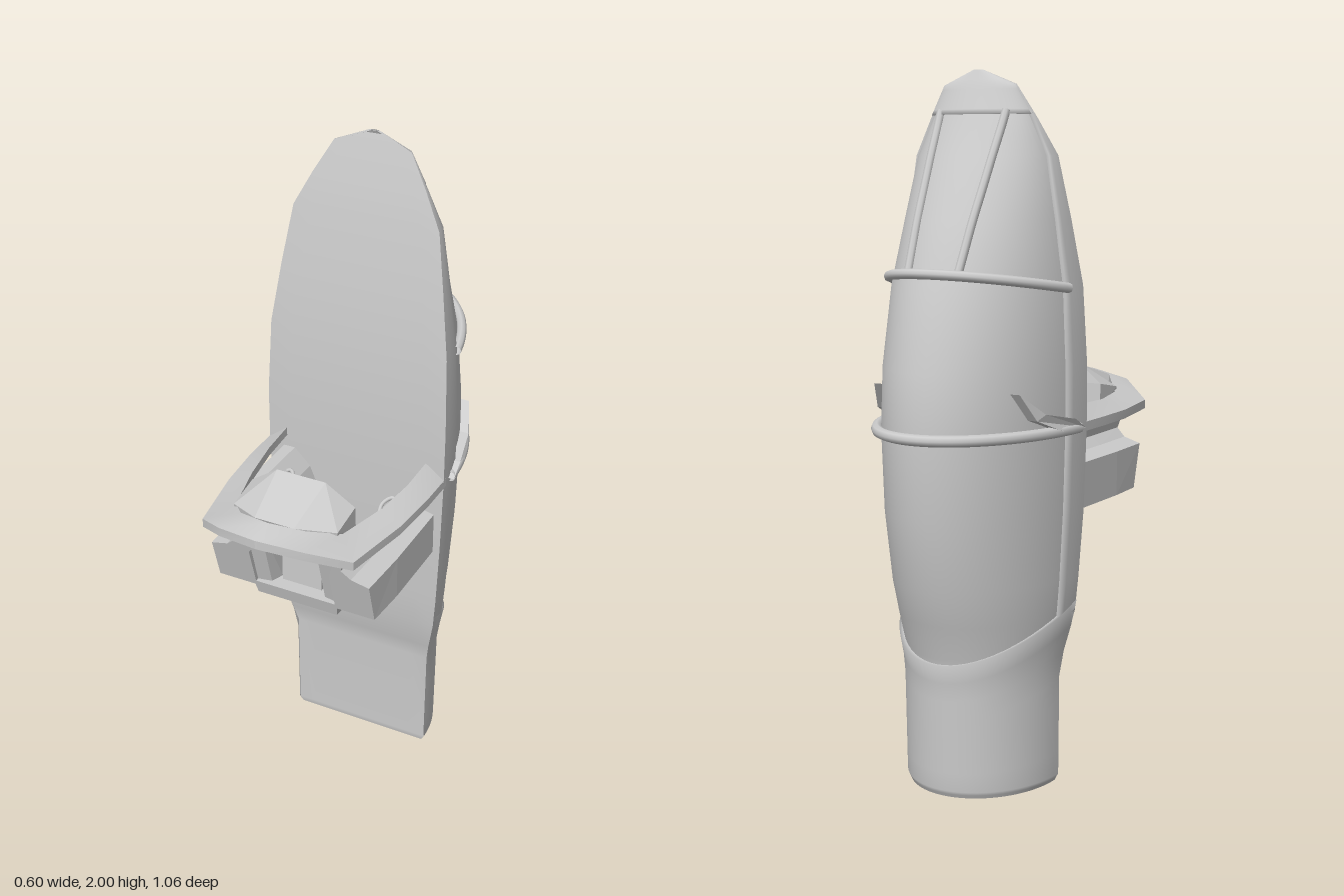
import * as THREE from 'three';
import { toCreasedNormals } from 'three/addons/utils/BufferGeometryUtils.js';
import { ParametricGeometry } from 'three/addons/geometries/ParametricGeometry.js';
import { ConvexGeometry } from 'three/addons/geometries/ConvexGeometry.js';

const material = new THREE.MeshStandardMaterial({ color: 0xcccccc, side: THREE.DoubleSide });
const V = (x, y, z) => new THREE.Vector3(x, y, z);
const lerp = THREE.MathUtils.lerp;

// Hull stations: y, half width, front z, back z
const rows = [
  [0, 0.215, -0.12, -0.38], [0.02, 0.224, -0.115, -0.39], [0.34, 0.226, -0.115, -0.4],
  [0.4, 0.237, -0.1, -0.412], [0.5, 0.258, -0.08, -0.44], [0.6, 0.266, -0.075, -0.472],
  [0.8, 0.277, -0.066, -0.507], [1.03, 0.283, -0.064, -0.517], [1.2, 0.283, -0.064, -0.503],
  [1.42, 0.274, -0.074, -0.445], [1.6, 0.248, -0.096, -0.37], [1.77, 0.22, -0.12, -0.285],
  [1.87, 0.168, -0.142, -0.235], [1.96, 0.115, -0.163, -0.198], [2, 0.015, -0.174, -0.178],
];
function station(y) {
  let i = 0;
  while (i < rows.length - 2 && y > rows[i + 1][0]) i++;
  const k = (y - rows[i][0]) / (rows[i + 1][0] - rows[i][0]);
  return rows[i].map((a, j) => lerp(a, rows[i + 1][j], k));
}
const rowY = (v) => {
  const s = v * (rows.length - 1), i = Math.min(Math.floor(s), rows.length - 2);
  return lerp(rows[i][0], rows[i + 1][0], s - i);
};
// Point on the half-elliptic back of the hull, t = 0 (left) to PI (right)
function hull(y, t, off = 0) {
  const [, w, zf, zb] = station(y);
  return V((w + off) * Math.cos(t), y, zf - (zf - zb + off) * Math.sin(t));
}
// Angle at which the hull section reaches depth z
function angleAt(y, z) {
  const [, , zf, zb] = station(y);
  return Math.asin(THREE.MathUtils.clamp((zf - z) / (zf - zb), 0.12, 1));
}

export function createModel() {
  const group = new THREE.Group();
  function add(name, geometry, mirrored = false) {
    const mesh = new THREE.Mesh(geometry, material);
    mesh.name = name;
    group.add(mesh);
    if (mirrored) {
      const other = mesh.clone();
      other.scale.x = -1;
      other.name = name + 'Right';
      mesh.name = name + 'Left';
      group.add(other);
    }
  }
  function surface(name, f, nu, nv, mirrored) {
    const g = new ParametricGeometry((u, v, p) => p.copy(f(u, v)), nu, nv);
    g.computeVertexNormals();
    add(name, g, mirrored);
  }
  const tube = (name, points, r, mirrored) =>
    add(name, new THREE.TubeGeometry(new THREE.CatmullRomCurve3(points), 40, r, 8), mirrored);
  const samples = (n, f) => Array.from({ length: n + 1 }, (_, i) => f(i / n));
  const n = rows.length - 1;

  // Hull: recessed back panels, flat front, bottom
  surface('backPanel', (u, v) => hull(rowY(v), u * Math.PI, -0.01), 32, n);
  surface('frontFace', (u, v) => {
    const [y, w, zf] = station(rowY(v));
    return V((u * 2 - 1) * w, y, zf);
  }, 8, n);
  surface('bottom', (u, v) => {
    const p = hull(0, u * Math.PI);
    return V(p.x, 0, lerp(-0.12, p.z, v));
  }, 32, 2);

  // Raised edging: side rims, lower sleeve with slanted top, nose cap
  surface('sideRim', (u, v) => {
    const y = rowY(v), end = angleAt(y, -0.16);
    return hull(y, Math.min(u / 0.8, 1) * end, u > 0.9 ? -0.012 : 0);
  }, 5, n, true);
  surface('lowerSleeve', (u, v) => {
    const t = u * Math.PI, s = Math.sin(t);
    const top = lerp(0.53, 0.385, s);
    const y = v < 0.2 ? v * 0.1 : lerp(0.02, top, Math.min((v - 0.2) / 0.7, 1));
    return hull(y, t, v > 0.95 ? -0.012 : 0.002);
  }, 32, 10);
  surface('noseCap', (u, v) => hull(lerp(1.88, 2, Math.max(0, (v - 0.1) / 0.9)), u * Math.PI, v < 0.05 ? -0.012 : 0), 24, 10);

  // Belt rings and window posts
  tube('beltRing', samples(28, (k) => hull(1.03, lerp(0.1, Math.PI - 0.1, k), 0.002)), 0.016);
  tube('windowRing', samples(28, (k) => {
    const t = lerp(0.2, Math.PI - 0.2, k);
    return hull(lerp(1.405, 1.46, Math.sin(t)), t, 0.002);
  }), 0.014);
  tube('windowPost', samples(10, (k) => {
    const y = lerp(1.45, 1.89, k), w = station(y)[1];
    return hull(y, Math.acos(lerp(0.08, 0.108, k) / w), -0.006);
  }), 0.012, true);

  // Swept spikes lying on the hull sides
  const spike = new THREE.ExtrudeGeometry(new THREE.Shape([[0.1, 1.03], [0.2, 1.03], [0.3, 1.07], [0.35, 1.145],
    [0.27, 1.085], [0.15, 1.06]].map(([x, y]) => new THREE.Vector2(x, y))), { depth: 0.03, bevelEnabled: false });
  const sp = spike.attributes.position;
  for (let i = 0; i < sp.count; i++) {
    const z = -sp.getX(i), y = sp.getY(i);
    sp.setXYZ(i, hull(y, angleAt(y, z)).x + sp.getZ(i) - 0.012, y, z);
  }
  spike.computeVertexNormals();
  add('sideSpike', spike, true);

  // Handrail around the cockpit: outer edge low, inner edge raised
  const half = [
    [0.283, 1.018, -0.08, 0.225, 1.062, -0.08], [0.282, 1.018, 0.05, 0.222, 1.052, 0.05],
    [0.27, 1.016, 0.2, 0.205, 1.045, 0.18], [0.232, 1.016, 0.41, 0.165, 1.045, 0.34],
    [0.13, 1.065, 0.49, 0.1, 1.085, 0.425], [0, 1.085, 0.525, 0, 1.1, 0.455],
  ];
  const path = [...half, ...half.slice(0, -1).reverse().map((s) => [-s[0], s[1], s[2], -s[3], s[4], s[5]])];
  const rail = new ParametricGeometry((u, v, p) => {
    const s = path[Math.round(v * (path.length - 1))], c = Math.round(u * 4) % 4;
    const o = c < 2 ? 0 : 3;
    p.set(s[o], s[o + 1] + (c === 1 || c === 2 ? 0.022 : -0.004), s[o + 2]);
  }, 4, path.length - 1);
  add('handrail', toCreasedNormals(rail, 0.5));

  // Open cockpit tub, with side pods and a raked front end
  const outer = [[0.13, 0.755], [0.135, 0.785], [0.255, 0.785], [0.255, 0.915], [0.2, 0.93], [0.172, 0.955],
    [0.18, 0.985], [0.235, 1.02]];
  const inner = [[0.2, 1.02], [0.15, 0.97], [0.13, 0.92], [0.13, 0.8]];
  const side = [...outer, ...inner];
  const profile = [...side, ...side.slice().reverse().map(([x, y]) => [-x, y])];
  const tub = new THREE.ExtrudeGeometry(new THREE.Shape(profile.map(([x, y]) => new THREE.Vector2(x, y))),
    { depth: 1, steps: 2, bevelEnabled: false });
  const tp = tub.attributes.position;
  for (let i = 0; i < tp.count; i++) {
    const x = tp.getX(i), y = tp.getY(i), k = tp.getZ(i);
    const front = 0.3 + (y - 0.755) * 0.28;
    tp.setXYZ(i, x * (k > 0.9 ? 0.97 : 1), y, k < 0.1 ? -0.09 : k < 0.9 ? 0.18 : front);
  }
  tub.computeVertexNormals();
  add('cockpitTub', tub);

  // Front wall: tapered cheeks either side of a recessed centre console
  const cheek = [];
  for (const [y, z] of [[0.79, 0.3], [1.03, 0.365]]) {
    cheek.push(V(0.07, y, 0.25), V(0.085, y, z - 0.01), V(0.14, y, z), V(0.145, y, 0.26));
  }
  add('frontCheek', new ConvexGeometry(cheek), true);
  const consoleBox = new THREE.BoxGeometry(0.125, 0.2, 0.08);
  consoleBox.translate(0, 0.89, 0.23);
  add('centreConsole', consoleBox);

  // Faceted dash hood
  const hood = [];
  for (const s of [-1, 1]) {
    for (const [x, y, z] of [[0.16, 1.02, 0.25], [0.16, 1.1, 0.255], [0.075, 1.162, 0.265], [0.16, 1.08, 0.36],
      [0.06, 1.1, 0.42], [0.155, 1.01, 0.355], [0.06, 1.01, 0.385], [0.06, 0.99, 0.27]]) hood.push(V(s * x, y, z));
  }
  add('dashHood', new ConvexGeometry(hood));

  // Grab loops and control rods inside the tub
  tube('grabLoop', [V(0.2, 0.98, 0.03), V(0.165, 1.0, 0.025), V(0.145, 0.99, 0.05), V(0.15, 0.97, 0.085),
    V(0.17, 0.95, 0.12)], 0.006, true);
  for (const d of [0, 0.018]) {
    tube('controlRod', [V(0.19 - d, 0.98, 0.09 + d), V(0.172 - d, 0.985, 0.14), V(0.165 - d, 0.99, 0.26)], 0.006, true);
  }
  return group;
}
